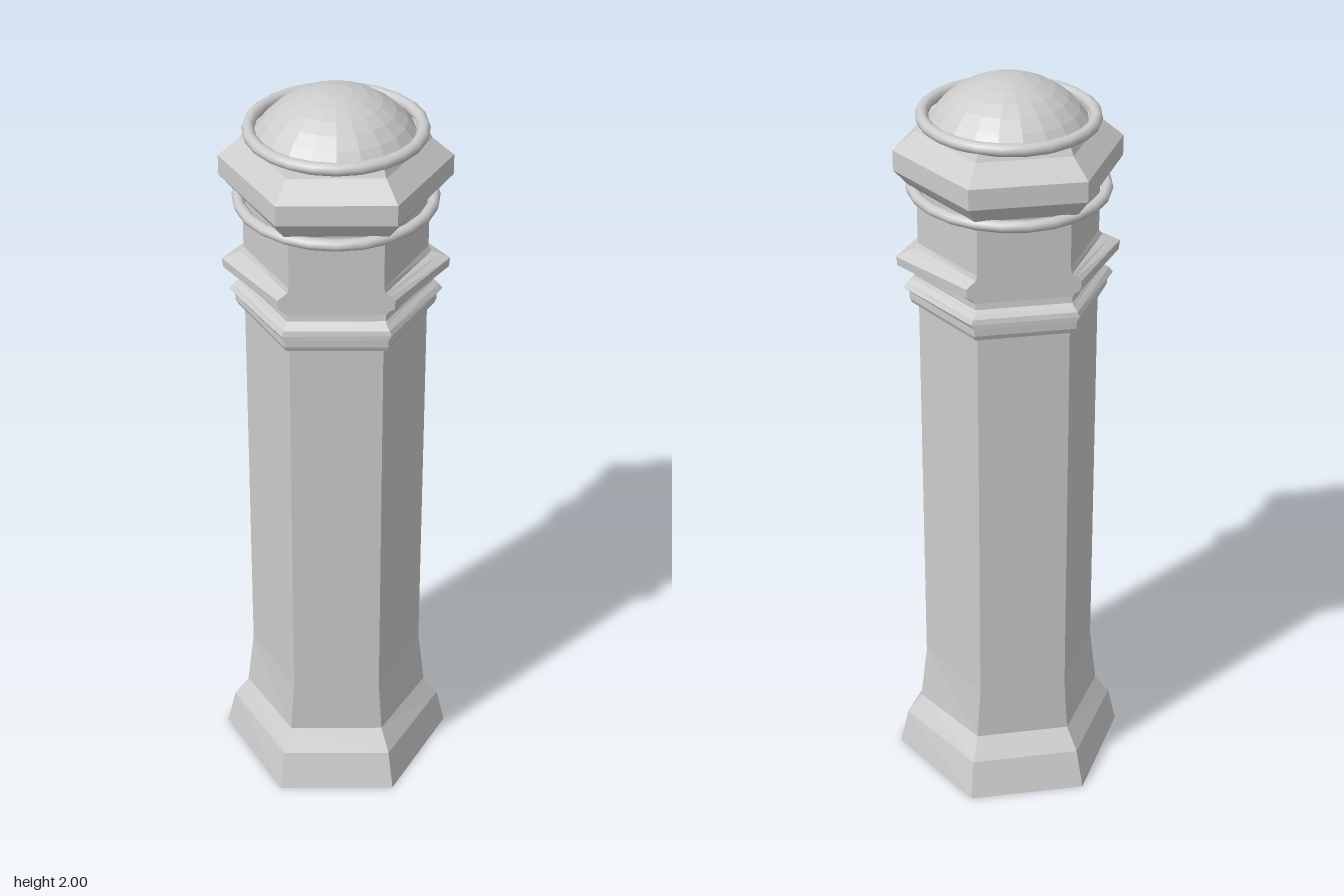
import * as THREE from 'three';

const flat = new THREE.MeshStandardMaterial({ color: 0xcccccc, flatShading: true });
const smooth = new THREE.MeshStandardMaterial({ color: 0xcccccc });

// Closed hexagonal loft; each section is [y, corner reach in x, face distance in z]
function hexLoft(name, sections) {
  const corners = sections.map(([y, x, z]) => [
    [x, y, 0], [x / 2, y, z], [-x / 2, y, z], [-x, y, 0], [-x / 2, y, -z], [x / 2, y, -z],
  ]);
  const pos = [];
  const tri = (a, b, c) => pos.push(...a, ...b, ...c);
  const top = corners[corners.length - 1], bottom = corners[0];
  const topMid = [0, top[0][1], 0], bottomMid = [0, bottom[0][1], 0];
  for (let i = 0; i < 6; i++) {
    const j = (i + 1) % 6;
    for (let k = 0; k < corners.length - 1; k++) {
      const lo = corners[k], hi = corners[k + 1];
      tri(lo[i], hi[j], lo[j]);
      tri(lo[i], hi[i], hi[j]);
    }
    tri(top[i], topMid, top[j]);
    tri(bottom[i], bottom[j], bottomMid);
  }
  const geo = new THREE.BufferGeometry();
  geo.setAttribute('position', new THREE.Float32BufferAttribute(pos, 3));
  geo.computeVertexNormals();
  const mesh = new THREE.Mesh(geo, flat);
  mesh.name = name;
  return mesh;
}

// Slightly oval horizontal bead
function bead(name, y, rx, rz, tube) {
  const geo = new THREE.TorusGeometry(1, tube / rx, 10, 24);
  geo.rotateX(Math.PI / 2);
  geo.scale(rx, rx, rz);
  geo.translate(0, y, 0);
  const mesh = new THREE.Mesh(geo, smooth);
  mesh.name = name;
  return mesh;
}

export function createModel() {
  const group = new THREE.Group();
  group.name = 'bollard';

  // Flared foot, tapering shaft and the two collar mouldings
  group.add(hexLoft('shaft', [
    [0, 0.315, 0.296], [0.10, 0.292, 0.263], [0.155, 0.253, 0.22], [0.31, 0.235, 0.22],
    [1.395, 0.235, 0.218], [1.402, 0.252, 0.238], [1.415, 0.259, 0.243], [1.435, 0.259, 0.244],
    [1.447, 0.274, 0.244], [1.46, 0.264, 0.241], [1.47, 0.25, 0.232], [1.478, 0.245, 0.222],
    [1.494, 0.246, 0.22], [1.504, 0.262, 0.22], [1.51, 0.288, 0.22], [1.535, 0.291, 0.22],
    [1.547, 0.265, 0.22], [1.556, 0.243, 0.22], [1.57, 0.235, 0.22], [1.74, 0.235, 0.22],
  ]));

  group.add(bead('lowerBead', 1.718, 0.247, 0.272, 0.015));

  // Bevelled hexagonal head
  group.add(hexLoft('head', [
    [1.73, 0.255, 0.25], [1.772, 0.293, 0.277], [1.825, 0.293, 0.275],
    [1.872, 0.238, 0.224], [1.895, 0.225, 0.213],
  ]));

  group.add(bead('upperBead', 1.9, 0.217, 0.233, 0.016));

  // Shallow faceted dome
  const R = 0.25, angle = Math.acos(0.56);
  const domeGeo = new THREE.SphereGeometry(R, 20, 6, 0, Math.PI * 2, 0, angle);
  domeGeo.scale(0.98, 1, 1.03);
  domeGeo.translate(0, 2 - R, 0);
  const dome = new THREE.Mesh(domeGeo, flat);
  dome.name = 'dome';
  group.add(dome);

  return group;
}
